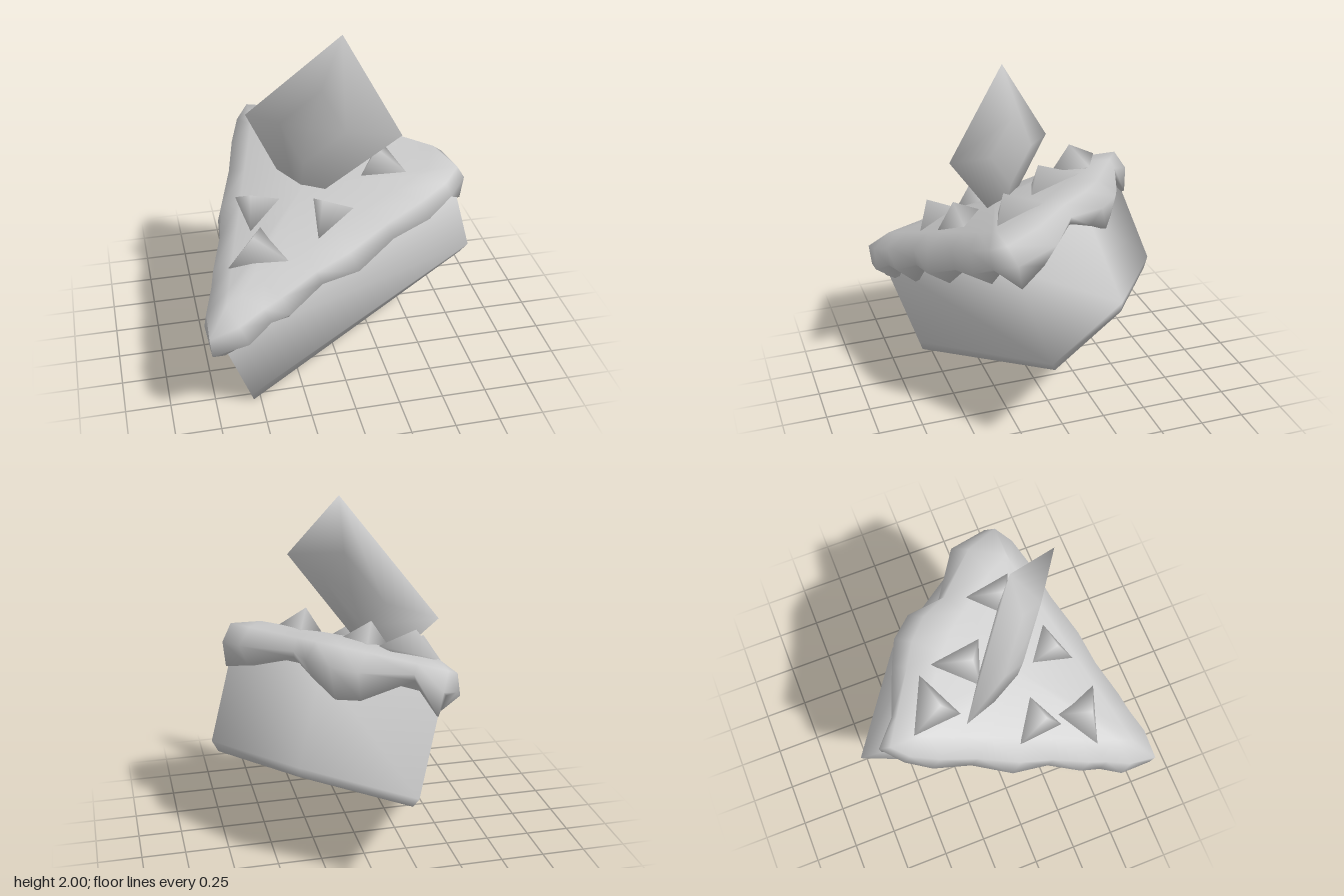
import * as THREE from 'three';

const mat = new THREE.MeshStandardMaterial({ color: 0xcccccc });

// Tilted slice frame: r runs from tip to back, h away from the base, w across.
const TIP = new THREE.Vector3(-0.54, 0, 0.55);
const R = new THREE.Vector3(0.643, 0.415, -0.643);
const H = new THREE.Vector3(-0.293, 0.91, 0.293);
const W = new THREE.Vector3(0.707, 0, 0.707);
const at = (r, h, w) => TIP.clone().addScaledVector(R, r).addScaledVector(H, h).addScaledVector(W, w);

// Smooth skin over a stack of rings, closed by a centre point at each end.
function loft(name, start, rings, end) {
  const n = rings[0].length;
  const points = [...rings.flat(), start, end];
  const s = points.length - 2, e = s + 1, last = (rings.length - 1) * n;
  const index = [];
  for (let i = 0; i < n; i++) {
    const j = (i + 1) % n;
    index.push(s, j, i, e, last + i, last + j);
    for (let k = 0; k < last; k += n) {
      index.push(k + i, k + j, k + n + i, k + j, k + n + j, k + n + i);
    }
  }
  const geo = new THREE.BufferGeometry().setFromPoints(points);
  geo.setIndex(index);
  geo.computeVertexNormals();
  const mesh = new THREE.Mesh(geo, mat);
  mesh.name = name;
  return mesh;
}

// Wedge of cake with a small bevel round the back of the base
function cake() {
  const ring = (h, r, w, back) => [at(0, h, 0), at(r, h, w), at(back, h, 0), at(r, h, -w)];
  return loft('cakeSlice', at(0.95, 0, 0),
    [ring(0, 1.33, 0.64, 1.45), ring(0.05, 1.36, 0.68, 1.48), ring(0.6, 1.36, 0.68, 1.48)],
    at(0.95, 0.6, 0));
}

// Icing: outline points carry an outward direction, drip height and bulge
function icing() {
  const drips = [[0.10, 0.515, 0.11], [0.24, 0.615, 0.09], [0.337, 0.50, 0.10], [0.54, 0.62, 0.075],
    [0.72, 0.507, 0.12], [0.949, 0.60, 0.08], [1.146, 0.52, 0.10], [1.30, 0.605, 0.07]];
  const side = (m) => drips.map(([r, drip, bulge]) =>
    ({ r, w: m * r * 0.5, dr: -0.447, dw: m * 0.894, drip, bulge }));
  const corner = (m) => ({ r: 1.355, w: m * 0.68, dr: 0.85, dw: m * 0.4, drip: 0.49, bulge: 0.08 });
  const back = [[1.41, 0.506, 0.528, 0.14], [1.455, 0.186, 0.626, 0.04], [1.475, 0.03, 0.54, 0.13],
    [1.465, -0.13, 0.455, 0.15], [1.44, -0.27, 0.48, 0.12], [1.40, -0.537, 0.647, 0.05]]
    .map(([r, w, drip, bulge]) => ({ r, w, dr: 1, dw: 0, drip, bulge }));
  const outline = [{ r: 0, w: 0, dr: -1, dw: 0, drip: 0.525, bulge: 0.09 },
    ...side(1), corner(1), ...back, corner(-1), ...side(-1).reverse()];

  const ring = (height, offset) => outline.map((p) => {
    const o = offset(p);
    return at(p.r + p.dr * o, height(p), p.w + p.dw * o);
  });
  const inner = outline.map((p) => at(p.r + (0.9 - p.r) * 0.15, 0.785, p.w * 0.85));
  return loft('icing', at(0.9, 0.6, 0), [
    ring((p) => p.drip, () => 0.02),
    ring((p) => Math.max(0.62, p.drip + 0.03), (p) => p.bulge),
    ring(() => 0.735, (p) => 0.02 + p.bulge * 0.4),
    inner,
  ], at(0.95, 0.815, 0));
}

// Diamond wafer, thin at the rim and puffed in the middle
function wafer() {
  const rim = [[0.04, 2, 0.19], [-0.42, 1.39, -0.22], [-0.19, 0.97, 0.14], [0.27, 1.58, 0.55]]
    .map((p) => new THREE.Vector3(...p));
  const centre = rim.reduce((a, p) => a.add(p), new THREE.Vector3()).multiplyScalar(0.25);
  const normal = new THREE.Vector3(-0.755, 0.137, 0.643);
  const inner = (d) => rim.map((p) => centre.clone().lerp(p, 0.42).addScaledVector(normal, d));
  const pole = (d) => centre.clone().addScaledVector(normal, d);
  return loft('wafer', pole(-0.09), [inner(-0.07), rim, inner(0.07)], pole(0.09));
}

// Small pointed sweet: triangle corners in plan (x, z), laid on the icing
function sweet(corners, i) {
  const base = corners.map(([x, z]) => {
    const y = (0.785 + 0.293 * (x - TIP.x - z + TIP.z)) / 0.91;
    return new THREE.Vector3(x, y, z);
  });
  const centre = base.reduce((a, p) => a.add(p), new THREE.Vector3()).divideScalar(3);
  return loft('sweet' + (i + 1), centre.clone().addScaledVector(H, -0.04), [base],
    centre.clone().addScaledVector(H, 0.13));
}

export function createModel() {
  const model = new THREE.Group();
  model.name = 'cakeSliceWithWafer';
  model.add(cake(), icing(), wafer());

  const sweets = new THREE.Group();
  sweets.name = 'sweets';
  // Corners run anticlockwise seen from above
  const layout = [
    [[-0.34, -0.49], [-0.30, -0.20], [-0.05, -0.35]],
    [[-0.01, -0.27], [-0.20, -0.05], [0.07, 0.04]],
    [[0.29, 0.05], [0.12, 0.25], [0.37, 0.33]],
    [[-0.53, 0.05], [-0.49, 0.32], [-0.28, 0.19]],
    [[-0.43, 0.30], [-0.64, 0.48], [-0.33, 0.58]],
    [[-0.14, 0.25], [-0.16, 0.52], [0.06, 0.42]],
  ];
  sweets.add(...layout.map(sweet));
  model.add(sweets);
  return model;
}
